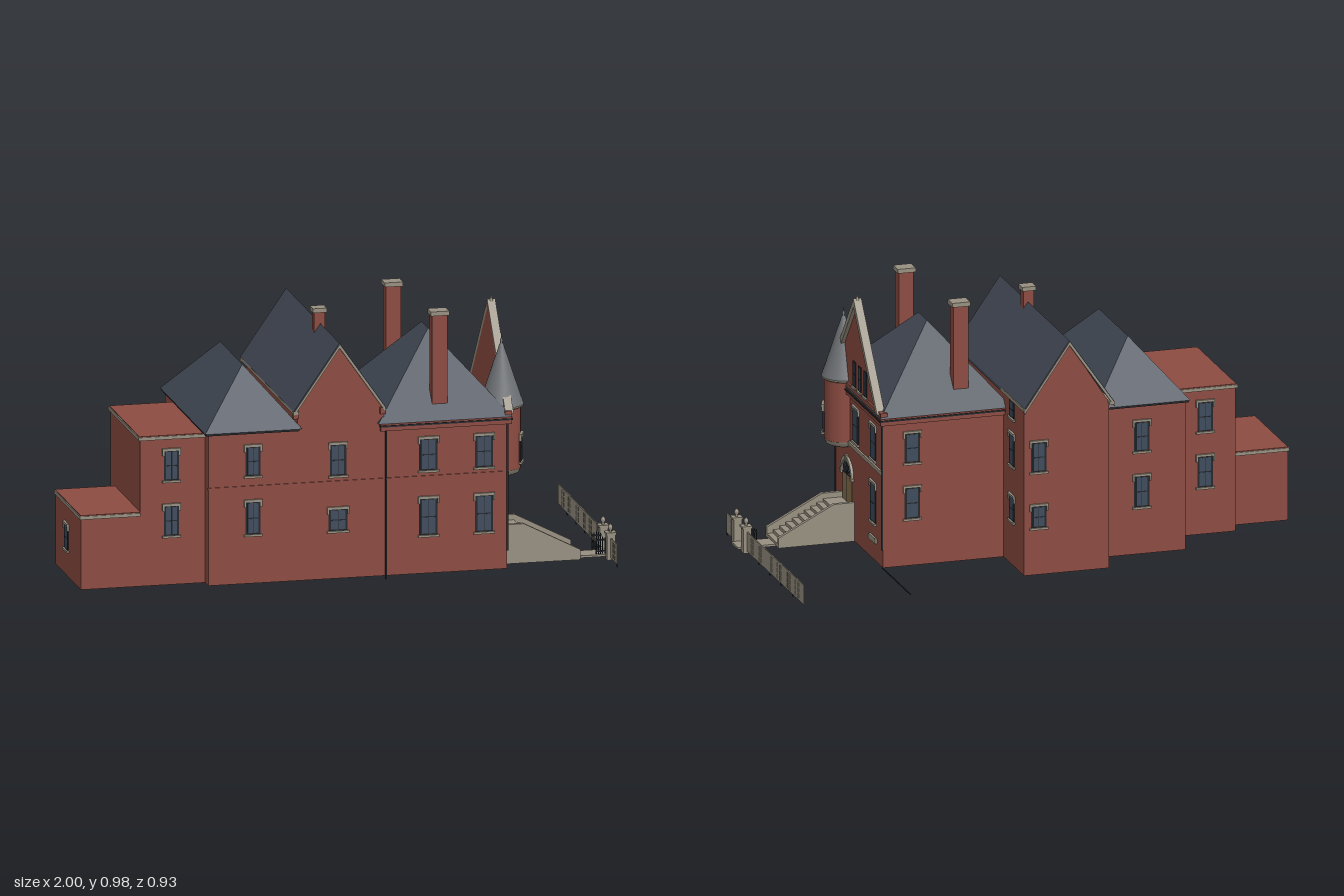
import * as THREE from 'three';

const mat = (name, color, side = THREE.FrontSide) => {
  const m = new THREE.MeshStandardMaterial({ color, side });
  m.name = name;
  return m;
};

export function createModel() {
  const brick = mat('brick', 0x8c4c42, THREE.DoubleSide);
  const slate = mat('slate', 0x434a56, THREE.DoubleSide);
  const stone = mat('stone', 0x989081);
  const lead = mat('lead', 0x6f7276);
  const glass = mat('glass', 0x3f4c5e);
  const iron = mat('iron', 0x24272b);
  const wood = mat('wood', 0x87704c);
  const house = new THREE.Group();
  house.name = 'house';

  const add = (name, geo, m, parent = house) => {
    const mesh = new THREE.Mesh(geo, m);
    mesh.name = name;
    parent.add(mesh);
    return mesh;
  };
  // Box given by its limits
  const box = (name, m, x0, x1, y0, y1, z0, z1, parent = house) => {
    const b = add(name, new THREE.BoxGeometry(x1 - x0, y1 - y0, z1 - z0), m, parent);
    b.position.set((x0 + x1) / 2, (y0 + y1) / 2, (z0 + z1) / 2);
    return b;
  };
  const shapeOf = pts => new THREE.Shape(pts.map(p => new THREE.Vector2(...p)));
  // Outline in (z, y), thickened from x0 to x1
  const sideSlab = (name, m, shape, x0, x1) => {
    const s = add(name, new THREE.ExtrudeGeometry(shape, { depth: x1 - x0, bevelEnabled: false, curveSegments: 16 }), m);
    s.rotation.y = -Math.PI / 2;
    s.position.x = x1;
    return s;
  };
  // Outline in (x, y), thickened from z0 to z1
  const frontSlab = (name, m, pts, z0, z1) => {
    const s = add(name, new THREE.ExtrudeGeometry(shapeOf(pts), { depth: z1 - z0, bevelEnabled: false }), m);
    s.position.z = z0;
    return s;
  };
  // Open-bottomed walls; keep lists box faces: 0 +x, 1 -x, 2 top, 4 +z, 5 -z
  const walls = (name, x0, x1, z0, z1, h, keep) => {
    const b = box(name, brick, x0, x1, 0.012, h, z0, z1);
    const idx = Array.from(b.geometry.index.array);
    b.geometry.setIndex(keep.flatMap(f => idx.slice(f * 6, f * 6 + 6)));
    b.geometry.clearGroups();
  };
  // Hip roof with its ridge along z
  const hipRoof = (name, x0, x1, z0, z1, y0, y1, xr, r0, r1) => {
    const a = [x0, y0, z0], b = [x1, y0, z0], c = [x1, y0, z1], d = [x0, y0, z1];
    const e = [xr, y1, r0], f = [xr, y1, r1];
    const tris = [a, e, b, b, e, f, b, f, c, c, f, d, d, f, e, d, e, a];
    const g = new THREE.BufferGeometry();
    g.setAttribute('position', new THREE.Float32BufferAttribute(tris.flat(), 3));
    g.computeVertexNormals();
    add(name, g, slate);
  };

  // Main wall blocks
  walls('lowWingWalls', -0.995, -0.775, -0.015, 0.38, 0.275, [1, 2, 4, 5]);
  walls('tallWingWalls', -0.775, -0.535, -0.085, 0.38, 0.555, [1, 2, 4, 5]);
  walls('middleWalls', -0.535, -0.205, -0.245, 0.43, 0.585, [1, 4, 5]);
  walls('gabledWalls', -0.205, 0.115, -0.375, 0.43, 0.64, [0, 1, 4, 5]);
  walls('entranceWalls', 0.115, 0.57, -0.13, 0.43, 0.58, [0, 4, 5]);

  // Flat wing roofs with stone coping
  for (const [x0, x1, z0, y] of [[-1, -0.775, -0.02, 0.275], [-0.782, -0.535, -0.092, 0.555]]) {
    box('coping', stone, x0, x1, y - 0.002, y + 0.01, z0, 0.386);
    box('flatRoof', brick, x0 + 0.004, x1, y + 0.01, y + 0.013, z0 + 0.004, 0.382);
  }

  // Hip roofs and eaves
  hipRoof('middleRoof', -0.55, -0.19, -0.26, 0.445, 0.578, 0.785, -0.37, -0.08, 0.265);
  box('middleGutter', iron, -0.546, -0.2, 0.57, 0.578, 0.425, 0.442);
  box('middleGutterBack', iron, -0.546, -0.2, 0.57, 0.578, -0.257, -0.24);
  box('middleGutterSide', iron, -0.546, -0.53, 0.57, 0.578, -0.257, 0.442);
  hipRoof('entranceRoof', 0.09, 0.588, -0.155, 0.45, 0.58, 0.86, 0.335, 0.09, 0.19);
  for (const [n, x0, x1, z0, z1] of [['front', 0.1, 0.585, 0.425, 0.445], ['back', 0.115, 0.585, -0.15, -0.125], ['side', 0.56, 0.585, -0.15, 0.445]]) {
    box(n + 'Cornice', brick, x0, x1, 0.552, 0.6 - (n === 'side' ? 0 : 0.02), z0, z1);
    box(n + 'Gutter', iron, x0 - 0.002, x1 + 0.004, 0.567, 0.573, z0 - 0.004, z1 + 0.004);
  }

  // Steep cross-gable
  const gx = -0.052;
  frontSlab('frontGable', brick, [[-0.205, 0.62], [0.115, 0.62], [0.115, 0.64], [gx, 0.876], [-0.205, 0.64]], 0.42, 0.43);
  frontSlab('backGable', brick, [[-0.205, 0.62], [0.115, 0.62], [0.115, 0.64], [gx, 0.876], [-0.205, 0.64]], -0.375, -0.365);
  const chevron = (w, y0, y1, t) => [[gx - w, y0], [gx - w, y0 - t], [gx, y1 - t], [gx + w, y0 - t], [gx + w, y0], [gx, y1]];
  frontSlab('gableRoof', slate, chevron(0.171, 0.642, 0.888, 0.01), -0.39, 0.442);
  for (const [z0, z1] of [[-0.393, -0.374], [0.429, 0.445]])
    frontSlab('gableCoping', stone, chevron(0.17, 0.638, 0.884, 0.014), z0, z1);
  box('rightEave', stone, 0.11, 0.12, 0.632, 0.645, -0.392, -0.11);
  box('leftEave', stone, -0.223, -0.203, 0.632, 0.643, -0.392, 0.445);
  for (const x of [-0.215, 0.107]) box('kneeler', brick, x - 0.008, x + 0.012, 0.615, 0.64, 0.425, 0.442);

  // Entrance gable wall with stone rake and finial
  sideSlab('entranceGable', brick, shapeOf([[-0.125, 0.575], [0.435, 0.575], [0.155, 0.935]]), 0.562, 0.578);
  sideSlab('entranceRake', stone, shapeOf([[-0.13, 0.59], [-0.105, 0.59], [0.155, 0.912], [0.42, 0.59], [0.445, 0.59], [0.155, 0.945]]), 0.562, 0.592);
  add('gableFinial', new THREE.ConeGeometry(0.008, 0.03, 8), stone).position.set(0.577, 0.95, 0.155);

  // Chimneys
  for (const [x, z, w, d, y0, y1] of [[0.265, -0.073, 0.056, 0.044, 0.55, 0.975], [0.328, 0.38, 0.056, 0.044, 0.63, 0.975], [-0.055, 0.125, 0.04, 0.036, 0.8, 0.945]]) {
    box('chimney', brick, x - w / 2, x + w / 2, y0, y1 - 0.015, z - d / 2, z + d / 2);
    box('chimneyCap', stone, x - w / 2 - 0.006, x + w / 2 + 0.006, y1 - 0.016, y1, z - d / 2 - 0.006, z + d / 2 + 0.006);
  }

  // Corner turret
  const turret = new THREE.Group();
  turret.name = 'turret';
  turret.position.set(0.572, 0, 0.336);
  house.add(turret);
  const lathe = (name, m, pts, parent, seg = 32) =>
    add(name, new THREE.LatheGeometry(pts.map(p => new THREE.Vector2(...p)), seg), m, parent);
  lathe('turretBase', stone, [[0, 0.343], [0.052, 0.345], [0.064, 0.352], [0.07, 0.368]], turret);
  lathe('turretWall', brick, [[0.07, 0.368], [0.07, 0.6]], turret);
  lathe('turretEave', stone, [[0.07, 0.592], [0.081, 0.598], [0.081, 0.604]], turret);
  lathe('turretRoof', lead, [[0.081, 0.603], [0.066, 0.645], [0.046, 0.705], [0.025, 0.77], [0.009, 0.815]], turret);
  lathe('turretFinial', lead, [[0.011, 0.812], [0.009, 0.82], [0.004, 0.828], [0.006, 0.838], [0.002, 0.846], [0, 0.868]], turret, 12);

  // Sash window facing local +z
  const sash = (x, z, turn, w, y0, y1, lintel = true, parent = house, panes = 2) => {
    const g = new THREE.Group();
    g.name = 'window';
    g.position.set(x, 0, z);
    g.rotation.y = turn;
    parent.add(g);
    const h = w / 2, mid = (y0 + y1) / 2;
    box('frame', iron, -h, h, y0, y1, -0.004, 0.003, g);
    for (const [a, b] of [[y0 + 0.005, mid - 0.002], [mid + 0.002, y1 - 0.004]])
      for (let i = 0; i < panes; i++) {
        const p = (w - 0.014) / panes, l = -h + 0.007 + i * p;
        box('pane', glass, l + 0.0008, l + p - 0.0008, a, b, 0, 0.004, g);
      }
    box('sill', stone, -h - 0.006, h + 0.006, y0 - 0.008, y0, -0.003, 0.009, g);
    if (!lintel) return;
    box('lintel', stone, -h - 0.006, h + 0.006, y1, y1 + 0.009, -0.003, 0.008, g);
    for (const s of [-1, 1]) box('bracket', stone, s * (h + 0.003) - 0.003, s * (h + 0.003) + 0.003, y1 - 0.018, y1, -0.003, 0.007, g);
  };
  const E = Math.PI / 2, B = Math.PI;
  // Front windows
  for (const [x, z, w, y0, y1] of [
    [-0.66, 0.38, 0.055, 0.4, 0.51], [-0.66, 0.38, 0.055, 0.195, 0.305],
    [-0.37, 0.43, 0.055, 0.412, 0.52], [-0.37, 0.43, 0.055, 0.195, 0.315],
    [-0.055, 0.43, 0.06, 0.395, 0.51], [-0.055, 0.43, 0.07, 0.19, 0.27],
    [0.28, 0.43, 0.066, 0.395, 0.512], [0.28, 0.43, 0.066, 0.155, 0.29],
    [0.485, 0.43, 0.066, 0.395, 0.512], [0.485, 0.43, 0.066, 0.155, 0.29]]) sash(x, z, 0, w, y0, y1);
  // Back windows
  for (const [x, z] of [[0.46, -0.13], [0.06, -0.375], [-0.37, -0.245], [-0.66, -0.085]]) {
    sash(x, z, B, 0.058, 0.4, 0.51);
    sash(x, z, B, 0.058, 0.19, x === 0.06 ? 0.27 : 0.305);
  }
  // Side windows
  for (const [z, y0, y1] of [[0.192, 0.39, 0.515], [-0.015, 0.39, 0.515], [-0.015, 0.153, 0.298]]) sash(0.57, z, E, 0.064, y0, y1);
  for (const z of [0.182, 0.117, 0.051]) sash(0.578, z, E, 0.034, 0.604, 0.698, false);
  for (const [y0, y1] of [[0.18, 0.27], [0.388, 0.505], [0.568, 0.63]]) sash(0.115, -0.234, E, 0.06, y0, y1, y1 < 0.6);
  sash(-0.995, 0.16, -E, 0.055, 0.11, 0.2);
  sash(0.0655, 0.0265, E - 0.38, 0.044, 0.392, 0.488, true, turret);
  box('basementPlate', stone, 0.57, 0.577, 0.08, 0.1, -0.056, 0.026);

  // Belt courses and downpipes
  box('sideBelt', stone, 0.568, 0.577, 0.36, 0.374, -0.125, 0.434);
  box('frontBelt', brick, -0.537, 0.572, 0.368, 0.375, 0.425, 0.434);
  for (const [x, z, y0] of [[0.122, 0.434, 0], [0.574, -0.13, 0.08], [0.571, 0.433, 0.08]]) {
    const p = add('downpipe', new THREE.CylinderGeometry(0.004, 0.004, 0.57 - y0, 8), iron);
    p.position.set(x, (0.57 + y0) / 2, z);
  }

  // Arched doorway
  const door = new THREE.Group();
  door.name = 'doorway';
  door.position.set(0.57, 0, 0.288);
  door.rotation.y = E;
  house.add(door);
  box('door', wood, -0.053, 0.053, 0.138, 0.242, -0.002, 0.004, door);
  box('doorSeam', iron, -0.0006, 0.0006, 0.14, 0.24, 0, 0.005, door);
  add('fanlight', new THREE.CircleGeometry(0.053, 24, 0, Math.PI), glass, door).position.set(0, 0.242, 0.003);
  for (let i = 0; i <= 6; i++) {
    const bar = add('fanlightBar', new THREE.BoxGeometry(0.053, 0.0016, 0.003), iron, door);
    const a = i * Math.PI / 6;
    bar.position.set(Math.cos(a) * 0.0265, 0.242 + Math.sin(a) * 0.0265, 0.004);
    bar.rotation.z = a;
  }
  const arch = new THREE.Shape();
  arch.absarc(0, 0, 0.068, 0, Math.PI, false);
  arch.absarc(0, 0, 0.053, Math.PI, 0, true);
  add('doorArch', new THREE.ExtrudeGeometry(arch, { depth: 0.01, bevelEnabled: false, curveSegments: 20 }), stone, door).position.y = 0.242;
  box('keystone', stone, -0.008, 0.008, 0.295, 0.315, 0, 0.013, door);
  for (const s of [-1, 1]) box('archFoot', stone, s * 0.0625 - 0.0105, s * 0.0625 + 0.0105, 0.234, 0.243, 0, 0.012, door);

  // Entrance steps between sloping side walls
  for (const z of [0.209, 0.351])
    frontSlab('stairWall', stone, [[0.57, 0.012], [0.857, 0.012], [0.857, 0.05], [0.648, 0.158], [0.57, 0.158]], z, z + 0.015);
  box('landing', stone, 0.57, 0.645, 0.012, 0.138, 0.222, 0.352);
  for (let i = 0; i < 9; i++)
    box('step', stone, 0.645 + i * 0.0235, 0.645 + (i + 1) * 0.0235, 0.012, 0.126 - i * 0.0125, 0.222, 0.352);
  box('path', stone, 0.855, 0.998, 0.008, 0.016, 0.25, 0.326);

  // Gate posts with urns, and open iron gates
  for (const s of [-1, 1]) {
    const z = 0.288 + s * 0.057;
    box('gatePost', stone, 0.958, 0.988, 0.002, 0.1, z - 0.015, z + 0.015);
    box('gatePostCap', stone, 0.954, 0.992, 0.096, 0.104, z - 0.018, z + 0.018);
    lathe('urn', stone, [[0.006, 0.103], [0.004, 0.109], [0.009, 0.118], [0.008, 0.126], [0.003, 0.131], [0, 0.14]], house, 12).position.set(0.973, 0, z);
    for (let i = 0; i < 5; i++) {
      const x = 0.925 + i * 0.008, t = 0.288 + s * 0.033;
      box('gateBar', iron, x, x + 0.003, 0.018, 0.085 - Math.abs(i - 2) * 0.004, t - 0.002, t + 0.002);
    }
    for (const y of [0.026, 0.068]) box('gateRail', iron, 0.925, 0.96, y, y + 0.004, 0.288 + s * 0.033 - 0.004, 0.288 + s * 0.033 + 0.004);
  }

  // Street fence with pierced panels
  const fence = (z0, z1, centres) => {
    const s = shapeOf([[z0, 0.01], [z1, 0.01], [z1, 0.083], [z0, 0.083]]);
    for (const c of centres)
      for (let i = 0; i < 5; i++)
        for (const y of [0.017, 0.038, 0.059]) {
          const z = c + (i - 2) * 0.011;
          s.holes.push(new THREE.Path([[z, y], [z, y + 0.016], [z + 0.004, y + 0.016], [z + 0.004, y]].map(p => new THREE.Vector2(...p))));
        }
    sideSlab('fence', stone, s, 0.971, 0.975);
  };
  fence(0.36, 0.46, [0.41]);
  fence(-0.462, 0.217, [0.16, 0.043, -0.062, -0.17, -0.282, -0.385]);
  for (const z of [0.456, 0.08, -0.055, -0.19, -0.325]) box('fenceFoot', iron, 0.971, 0.975, 0, 0.012, z - 0.003, z + 0.003);
  // Low edging beside the house
  box('edging', iron, 0.571, 0.574, 0.01, 0.014, -0.465, -0.13);

  return house;
}
